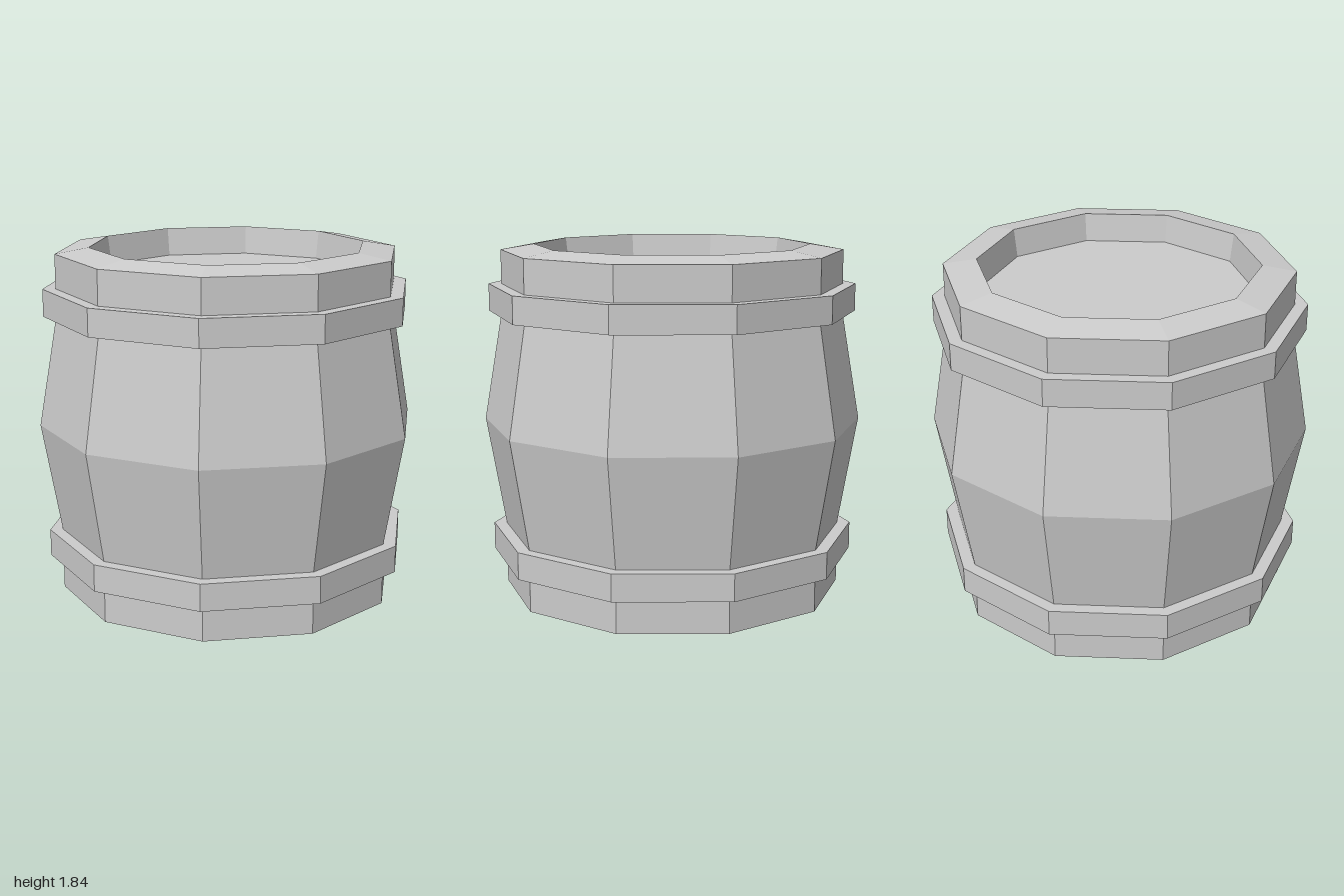
import * as THREE from 'three';

const SIDES = 10;

// Ten-sided solid of revolution with a corner on the x axis
function turned(name, profile, material) {
  const points = profile.map(([r, y]) => new THREE.Vector2(r, y));
  const mesh = new THREE.Mesh(new THREE.LatheGeometry(points, SIDES, Math.PI / 2), material);
  mesh.name = name;
  return mesh;
}

export function createModel() {
  const group = new THREE.Group();
  group.name = 'barrel';
  const material = new THREE.MeshStandardMaterial({ color: 0xcccccc, flatShading: true });

  // Bulging staves with a recessed lid and a recessed base
  group.add(turned('body', [
    [0, 0.12], [0.71, 0.12], [0.725, 0], // base recess
    [0.9, 0], [0.9, 0.33], [1, 0.91], [0.9, 1.49], [0.9, 1.81], // staves
    [0.725, 1.84], [0.705, 1.69], [0, 1.69], // sloped rim and lid recess
  ], material));

  // Hoops around both ends
  for (const [name, y] of [['lowerHoop', 0.185], ['upperHoop', 1.488]]) {
    const top = y + 0.143;
    group.add(turned(name, [[0.9, y], [0.967, y], [0.967, top], [0.9, top]], material));
  }
  return group;
}
